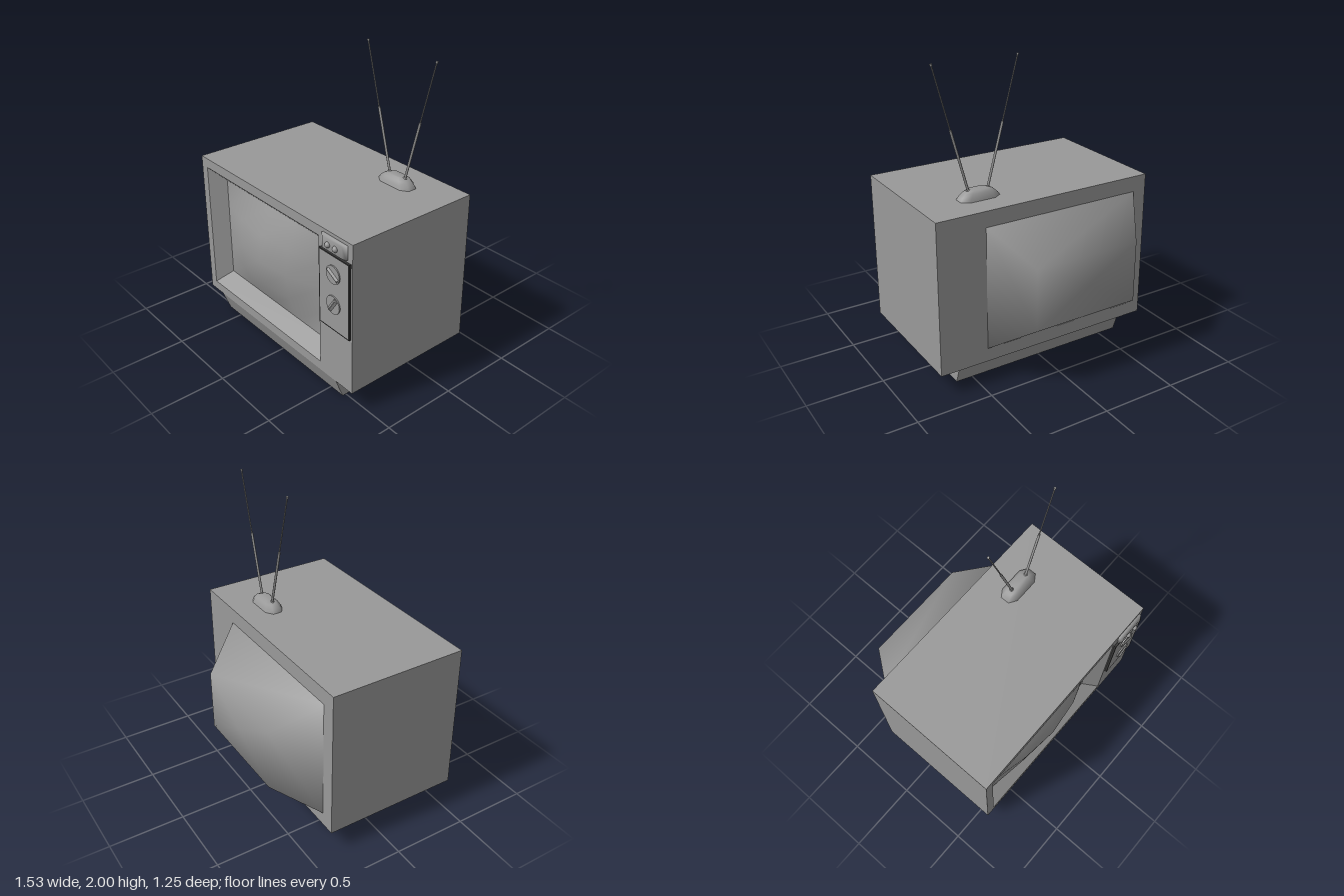
import * as THREE from 'three';

// Rectangle ring, counter-clockwise in xy at depth z
const rect = (x0, x1, y0, y1, z) => [[x0, y0, z], [x1, y0, z], [x1, y1, z], [x0, y1, z]];

// Skin a list of rings advancing along +z, with optional end caps
function loft(rings, { start = false, end = false, smooth = false } = {}) {
  const n = rings[0].length, last = (rings.length - 1) * n, idx = [];
  for (let i = 0; i < rings.length - 1; i++) {
    for (let j = 0; j < n; j++) {
      const a = i * n + j, b = i * n + (j + 1) % n;
      idx.push(a, b, b + n, a, b + n, a + n);
    }
  }
  for (let j = 1; j < n - 1; j++) {
    if (start) idx.push(0, j + 1, j);
    if (end) idx.push(last, last + j, last + j + 1);
  }
  let g = new THREE.BufferGeometry();
  g.setAttribute('position', new THREE.Float32BufferAttribute(rings.flat(2), 3));
  g.setIndex(idx);
  if (!smooth) g = g.toNonIndexed();
  g.computeVertexNormals();
  return g;
}

export function createModel() {
  const model = new THREE.Group();
  model.name = 'television';
  const grey = new THREE.MeshStandardMaterial({ color: 0x999999 });
  const dark = new THREE.MeshStandardMaterial({ color: 0x333333 });
  const add = (name, geo, x = 0, y = 0, z = 0, parent = model, mat = grey) => {
    const m = new THREE.Mesh(geo, mat);
    m.name = name;
    m.position.set(x, y, z);
    parent.add(m);
    return m;
  };
  const F = 0.58; // front plane

  // Cabinet: box without its front face
  const box = new THREE.BoxGeometry(1.526, 1.012, 0.927);
  const ids = Array.from(box.index.array);
  ids.splice(24, 6);
  box.setIndex(ids);
  box.clearGroups();
  add('cabinet', box, -0.002, 0.647, 0.1165);

  // Front face with the screen opening
  const path = (T, r) => new T(r.map(([x, y]) => new THREE.Vector2(x, y)));
  const outer = rect(-0.705, 0.465, 0.203, 1.088, F);
  const face = path(THREE.Shape, rect(-0.765, 0.761, 0.141, 1.153, 0));
  face.holes.push(path(THREE.Path, outer));
  add('frontFace', new THREE.ShapeGeometry(face), 0, 0, F);

  // Sloping screen surround and bulging screen
  const depth = 0.09;
  add('screenSurround', loft([outer, rect(-0.615, 0.375, 0.295, 1.0, F - depth)]));
  const w = 0.99, h = 0.705;
  const screen = new THREE.PlaneGeometry(w, h, 4, 4);
  const p = screen.attributes.position;
  for (let i = 0; i < p.count; i++) {
    const u = 2 * p.getX(i) / w, v = 2 * p.getY(i) / h;
    p.setZ(i, 0.112 * (1 - u * u) * (1 - v * v));
  }
  screen.computeVertexNormals();
  add('screen', screen, -0.12, 0.6475, F - depth);

  // Tapered tube housing at the back, its end cap fanned from the middle
  add('tubeHousing', loft([
    rect(-0.118, -0.117, 0.635, 0.636, -0.619),
    rect(-0.485, 0.25, 0.43, 0.84, -0.619),
    rect(-0.67, 0.435, 0.23, 1.05, -0.346),
  ], { start: true, smooth: true }));

  // Plinth, narrower towards the floor
  const plinth = loft([
    rect(-0.63, 0.612, -0.525, 0.255, 0),
    rect(-0.63, 0.612, -0.58, 0.305, 0.141),
  ], { start: true, end: true });
  add('plinth', plinth.rotateX(-Math.PI / 2));

  // Control panel: thin dark rim around a plate
  const rim = path(THREE.Shape, rect(0.483, 0.749, 0.523, 1.027, 0));
  rim.holes.push(path(THREE.Path, rect(0.491, 0.741, 0.531, 1.019, 0)));
  add('panelRim', new THREE.ExtrudeGeometry(rim, { depth: 0.015, bevelEnabled: false }),
    0, 0, F, model, dark);
  add('panelPlate', new THREE.BoxGeometry(0.25, 0.488, 0.015), 0.616, 0.775, F + 0.0075);

  // Two dials, each with a tapered grip
  [[0.905, -0.5], [0.703, 0.98]].forEach(([y, angle], i) => {
    const dial = new THREE.Group();
    dial.name = i ? 'lowerDial' : 'upperDial';
    dial.position.set(0.615, y, F + 0.013);
    dial.rotation.z = angle;
    model.add(dial);
    add('dialDisc', new THREE.CylinderGeometry(0.059, 0.059, 0.01, 24).rotateX(Math.PI / 2), 0, 0, 0.005, dial);
    add('dialGrip', loft([
      rect(-0.05, 0.05, -0.015, 0.015, 0.01),
      rect(-0.048, 0.048, -0.002, 0.002, 0.02),
    ], { end: true }), 0, 0, 0, dial);
  });

  // Small switch box with two rounded buttons
  add('switchBox', loft([
    rect(0.508, 0.722, 1.043, 1.132, F),
    rect(0.508, 0.722, 1.043, 1.132, F + 0.012),
    rect(0.53, 0.7, 1.05, 1.125, F + 0.027),
  ], { end: true, smooth: true }));
  for (const x of [0.58, 0.645]) {
    add('button', new THREE.SphereGeometry(0.019, 16, 10), x, 1.087, F + 0.027);
  }

  // Aerial: faceted domed foot and two telescopic rods
  const aerial = new THREE.Group();
  aerial.name = 'aerial';
  aerial.position.set(0.36, 1.153, -0.125);
  model.add(aerial);
  const oct = [[0.135, -0.03], [0.135, 0.03], [0.085, 0.063], [-0.085, 0.063],
    [-0.135, 0.03], [-0.135, -0.03], [-0.085, -0.063], [0.085, -0.063]];
  const foot = loft([[1, 0], [0.9, 0.022], [0.72, 0.045], [0.48, 0.06]]
    .map(([s, z]) => oct.map(([x, y]) => [x * s, y * s, z])), { end: true, smooth: true });
  add('aerialFoot', foot.rotateX(-Math.PI / 2), 0, 0, 0, aerial);

  const up = new THREE.Vector3(0, 1, 0);
  for (const s of [-1, 1]) {
    const a = new THREE.Vector3(s * 0.067, 0.05, 0), b = new THREE.Vector3(s * 0.284, 0.846, 0);
    const dir = b.clone().sub(a).normalize();
    const rod = (name, t0, t1, r) => {
      const p0 = a.clone().lerp(b, t0), p1 = a.clone().lerp(b, t1);
      const m = add(name, new THREE.CylinderGeometry(r, r, p0.distanceTo(p1), 10), 0, 0, 0, aerial);
      m.position.copy(p0).add(p1).multiplyScalar(0.5);
      m.quaternion.setFromUnitVectors(up, dir);
    };
    rod('lowerRod', 0, 0.5, 0.008);
    rod('upperRod', 0.5, 0.99, 0.0042);
    rod('rodTip', 0.988, 1, 0.008);
    add('rodSocket', new THREE.SphereGeometry(0.015, 12, 8), a.x, a.y, 0, aerial);
  }
  return model;
}
